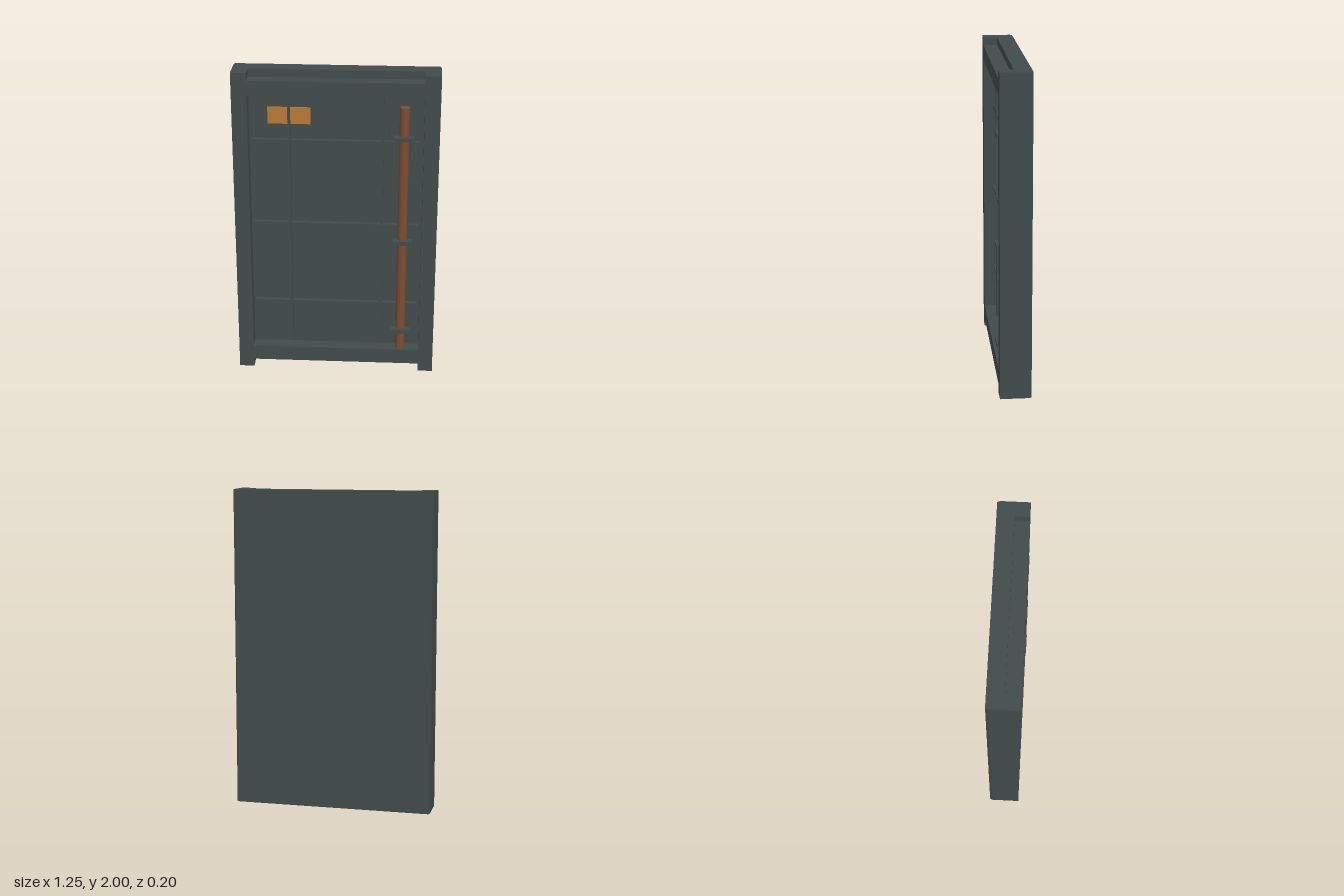
import * as THREE from 'three';

export function createModel() {
  const model = new THREE.Group();
  model.name = 'framedPanel';

  const material = (name, color) => {
    const m = new THREE.MeshStandardMaterial({ color });
    m.name = name;
    return m;
  };
  const slate = material('slateGrey', 0x414b4b);
  const copper = material('copperBrown', 0x7c4c33);
  const amber = material('amber', 0xb97b34);

  const add = (name, geometry, mat, x = 0, y = 0, z = 0) => {
    const mesh = new THREE.Mesh(geometry, mat);
    mesh.name = name;
    mesh.position.set(x, y, z);
    model.add(mesh);
    return mesh;
  };
  // Box given by its centre in x and y, and its back and front in z
  const slab = (name, mat, x, y, w, h, back, front) =>
    add(name, new THREE.BoxGeometry(w, h, front - back), mat, x, y, (back + front) / 2);

  const halfW = 0.627, inner = 0.533;
  const back = -0.099, floor = 0.005, front = 0.094;

  // Back wall and side posts: one U-shaped footprint with chamfered rear edges
  const footprint = new THREE.Shape([
    [-halfW, -front], [-inner, -front], [-inner, -floor], [inner, -floor],
    [inner, -front], [halfW, -front], [halfW, -back - 0.016],
    [halfW - 0.008, -back], [-halfW + 0.008, -back], [-halfW, -back - 0.016],
  ].map(([x, y]) => new THREE.Vector2(x, y)));
  const shell = new THREE.ExtrudeGeometry(footprint, { depth: 2, bevelEnabled: false });
  shell.rotateX(-Math.PI / 2);
  add('backAndSidePosts', shell, slate);

  // Cross rails, set in from the top and bottom ends
  slab('topRail', slate, 0, 1.903, inner * 2, 0.096, floor, front);
  slab('bottomRail', slate, 0, 0.103, inner * 2, 0.096, floor, front);

  // Raised ribs on the recessed panel
  for (const x of [-0.288, 0.283]) slab('verticalRib', slate, x, 1.002, 0.016, 1.66, floor, 0.036);
  for (const y of [0.453, 1.003, 1.553]) slab('horizontalRib', slate, -0.002, y, 1.03, 0.016, floor, 0.034);

  // Label plate, crossed by the left rib
  slab('labelPlate', amber, -0.288, 1.71, 0.262, 0.106, floor, 0.013);

  // Upright pipe and its clamps
  add('pipe', new THREE.CylinderGeometry(0.03, 0.03, 1.64, 16), copper, 0.414, 0.97, 0.05);
  for (const y of [0.285, 0.91, 1.597])
    slab('pipeClamp', slate, 0.415, y, 0.122, 0.026, 0.05, 0.099);

  return model;
}
